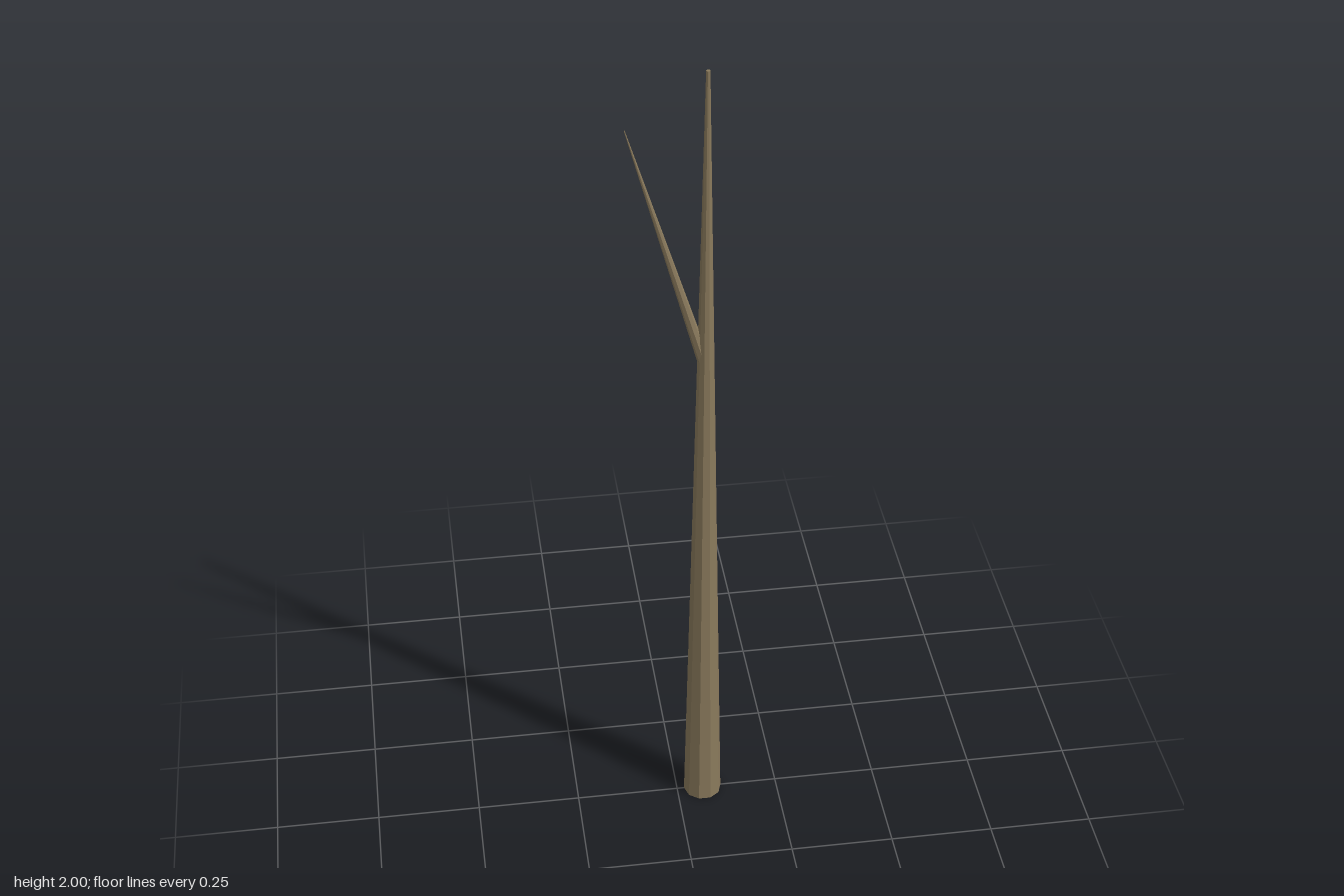
import * as THREE from 'three';

const bark = new THREE.MeshStandardMaterial({ color: 0x8a7a5c, flatShading: true });

// Tapered low-poly limb running from one point to another
function limb(name, from, to, baseRadius, tipRadius, sides) {
  const axis = to.clone().sub(from);
  const length = axis.length();
  const geometry = new THREE.CylinderGeometry(tipRadius, baseRadius, length, sides, 1, false, Math.PI / 2);
  geometry.translate(0, length / 2, 0);
  const mesh = new THREE.Mesh(geometry, bark);
  mesh.name = name;
  mesh.position.copy(from);
  mesh.quaternion.setFromUnitVectors(new THREE.Vector3(0, 1, 0), axis.normalize());
  return mesh;
}

export function createModel() {
  const tree = new THREE.Group();
  tree.name = 'bareTree';
  const trunkX = 0.064;

  // Straight ten-sided trunk, narrowing to a small flat top
  tree.add(limb('trunk', new THREE.Vector3(trunkX, 0, 0), new THREE.Vector3(trunkX, 2, 0), 0.0465, 0.0045, 10));

  // Single branch rooted in the trunk, leaning to the right
  tree.add(limb('branch', new THREE.Vector3(trunkX, 1.275, 0), new THREE.Vector3(-0.11, 1.875, 0), 0.0145, 0.001, 8));

  return tree;
}
